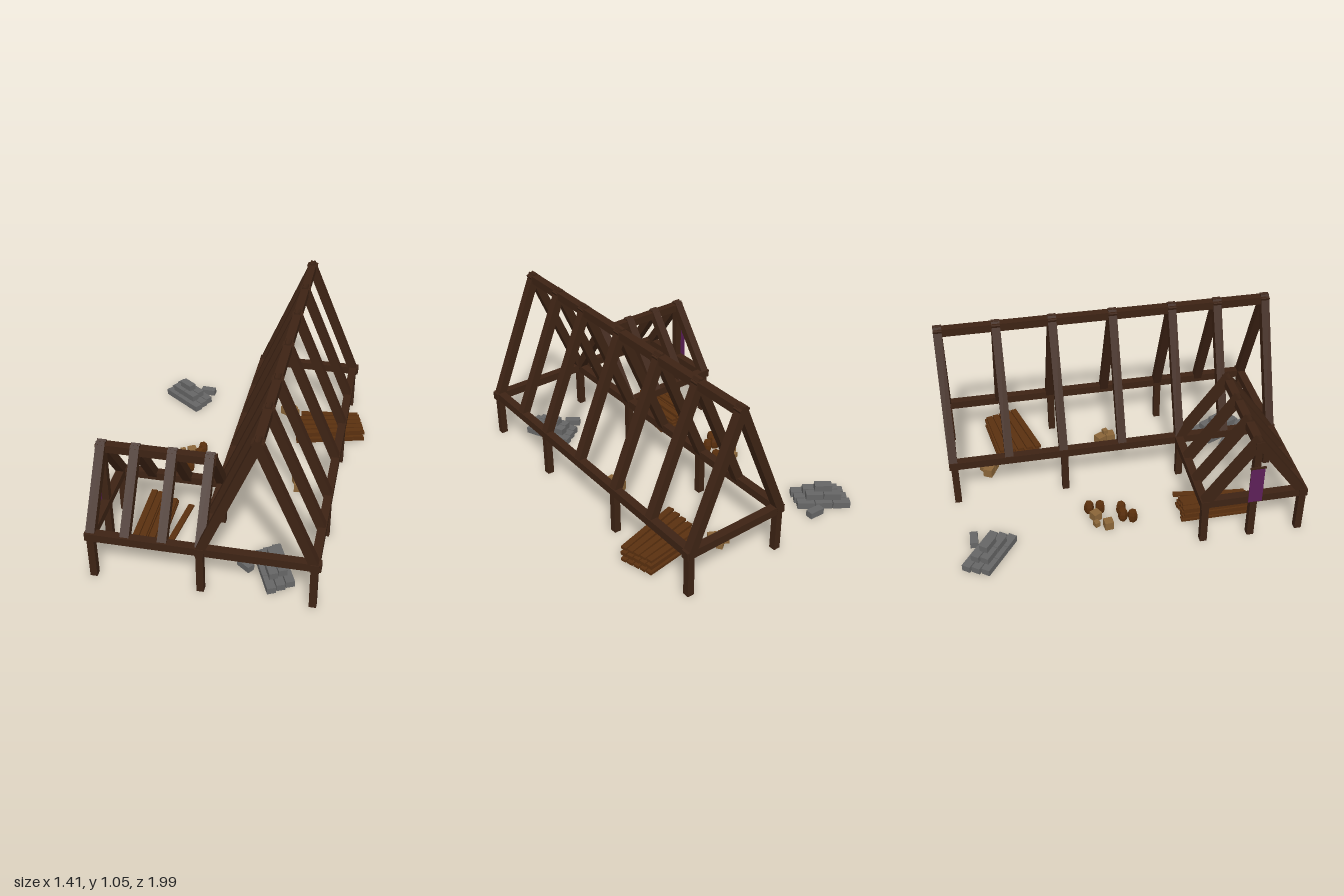
import * as THREE from 'three';

const mat = (color, extra = {}) => new THREE.MeshStandardMaterial({ color, flatShading: true, ...extra });
const wood = mat(0x3d2314), plankWood = mat(0x5a300f), barrelWood = mat(0x5a2f0c);
const crateWood = mat(0x8a6538), stone = mat(0x666666);
const cloth = mat(0x5c1f58, { side: THREE.DoubleSide });

const T = 0.048;      // timber thickness
const EAVE = 0.28;    // centre height of the eave beams
const RIDGE_X = 0.265, RIDGE_Z = 0.675;

export function createModel() {
  const root = new THREE.Group();

  function group(name, x = 0, z = 0, angle = 0) {
    const g = new THREE.Group();
    g.name = name;
    g.position.set(x, 0, z);
    g.rotation.y = angle;
    root.add(g);
    return g;
  }
  function box(parent, name, material, size, pos, angle = 0) {
    const m = new THREE.Mesh(new THREE.BoxGeometry(...size), material);
    m.name = name;
    m.position.set(...pos);
    m.rotation.y = angle;
    parent.add(m);
    return m;
  }
  // Square-ended bar running from point a to point b
  function bar(parent, name, a, b, w = T, h = T, material = wood) {
    const from = new THREE.Vector3(...a), to = new THREE.Vector3(...b);
    const m = box(parent, name, material, [w, h, from.distanceTo(to)], [0, 0, 0]);
    m.position.copy(from).add(to).multiplyScalar(0.5);
    m.lookAt(to);
    parent.add(m);
  }
  const post = (parent, name, x, z, top = 0.29) =>
    box(parent, name, wood, [0.04, top, 0.04], [x, top / 2, z]);

  // Main hall frame
  const hall = group('mainHallFrame');
  for (const x of [-0.04, 0.57]) {
    bar(hall, 'eaveBeam', [x, EAVE, -0.995], [x, EAVE, 0.995]);
    for (const z of [0.97, 0.4, -0.31, -0.965]) post(hall, 'post', x, z);
  }
  bar(hall, 'ridgeBeam', [RIDGE_X, 1.013, -0.97], [RIDGE_X, 1.013, 0.97]);
  bar(hall, 'backTieBeam', [-0.065, EAVE, -0.97], [0.605, EAVE, -0.97]);
  for (const z of [0.965, 0.67, 0.395, 0.04, -0.315, -0.64, -0.97]) {
    for (const s of [-1, 1]) {
      bar(hall, 'rafter', [RIDGE_X + s * 0.305, 0.285, z], [RIDGE_X - s * 0.01, 1.04, z], 0.05, 0.05);
    }
  }

  // Side wing frame, with the front beam running on across the hall
  const wing = group('wingFrame');
  bar(wing, 'frontBeam', [-0.67, EAVE, 0.965], [0.605, EAVE, 0.965]);
  bar(wing, 'backEaveBeam', [-0.67, EAVE, 0.39], [-0.01, EAVE, 0.39]);
  bar(wing, 'gableTieBeam', [-0.64, EAVE, 0.37], [-0.64, EAVE, 0.985]);
  bar(wing, 'ridgeBeam', [-0.67, 0.662, RIDGE_Z], [-0.005, 0.662, RIDGE_Z]);
  post(wing, 'post', -0.64, 0.965);
  post(wing, 'post', -0.64, 0.395);
  post(wing, 'gablePost', -0.64, RIDGE_Z, 0.66);
  for (const x of [-0.64, -0.45, -0.245, -0.04]) {
    for (const s of [-1, 1]) {
      bar(wing, 'rafter', [x, 0.285, RIDGE_Z + s * 0.285], [x, 0.687, RIDGE_Z - s * 0.008], 0.051, 0.05);
    }
  }

  // Hanging banner on the wing gable
  const banner = group('banner');
  box(banner, 'bannerRod', wood, [0.01, 0.01, 0.09], [-0.677, 0.517, RIDGE_Z]);
  box(banner, 'bannerBracket', wood, [0.04, 0.01, 0.01], [-0.662, 0.517, RIDGE_Z]);
  box(banner, 'bannerCloth', cloth, [0.004, 0.245, 0.08], [-0.676, 0.395, RIDGE_Z]);

  // Stepped stone piles: three layers, narrowing upwards, long side along local x
  function stonePile(x, z, angle) {
    const g = group('stonePile', x, z, angle);
    [[3, 3], [2, 2], [1, 1]].forEach(([cols, rows], layer) => {
      for (let c = 0; c < cols; c++) {
        for (let r = 0; r < rows; r++) {
          const shift = (c - 1) * 0.012;
          box(g, 'stoneBlock', stone, [0.1, 0.039, 0.05],
            [(r - (rows - 1) / 2) * 0.104 + shift, 0.0215 + layer * 0.0405, (c - (cols - 1) / 2) * 0.056]);
        }
      }
    });
  }
  stonePile(0.325, 0.76, -1.15);
  stonePile(-0.54, -0.82, -0.63);
  box(root, 'looseStone', stone, [0.095, 0.039, 0.045], [0.165, 0.022, 0.76], -0.65);
  box(root, 'looseStone', stone, [0.095, 0.039, 0.045], [-0.42, 0.022, -0.9], -0.05);

  // Plank stack beside the hall, fanned slightly
  const hallPlanks = group('hallPlanks');
  for (let layer = 0; layer < 4; layer++) {
    const y = 0.016 + layer * 0.023, d = (layer % 2) * 0.012;
    for (let i = 0; i < 5; i++) {
      bar(hallPlanks, 'plank', [0.27, y, -0.67 + i * 0.056 + d],
        [0.65 + i * 0.012 - d, y, -0.725 + i * 0.041 + d], 0.036, 0.016, plankWood);
    }
  }

  // Plank stacks beneath the wing, with one loose plank
  const wingPlanks = group('wingPlanks');
  [5, 5, 4, 3].forEach((count, c) => {
    for (let layer = 0; layer < count; layer++) {
      const x = -0.472 + c * 0.041 + (layer % 2) * 0.005, d = ((layer + c) % 3) * 0.008;
      bar(wingPlanks, 'plank', [x, 0.014 + layer * 0.0195, 0.31 + d],
        [x, 0.014 + layer * 0.0195, 0.715 + d], 0.035, 0.015, plankWood);
    }
  });
  bar(wingPlanks, 'loosePlank', [-0.25, 0.012, 0.315], [-0.305, 0.012, 0.725], 0.035, 0.012, plankWood);

  // Six-sided barrels
  const profile = [[0, 0.008], [0.023, 0.008], [0.029, 0.03], [0.029, 0.058], [0.023, 0.08], [0, 0.08]]
    .map(([r, y]) => new THREE.Vector2(r, y));
  const barrelGeometry = new THREE.LatheGeometry(profile, 6);
  [[-0.3, -0.21], [-0.31, -0.145], [-0.4, -0.025], [-0.34, -0.025], [-0.42, 0.03]].forEach(([x, z], i) => {
    const barrel = new THREE.Mesh(barrelGeometry, barrelWood);
    barrel.name = 'barrel';
    barrel.position.set(x, 0, z);
    barrel.rotation.y = i * 0.4;
    root.add(barrel);
  });

  // Crates: x, z, size, base height, turn
  for (const [x, z, s, y, turn] of [
    [-0.365, -0.18, 0.052, 0.008, 0.5], [-0.425, -0.185, 0.032, 0.008, 0.4], [-0.45, -0.12, 0.052, 0.008, 0.1],
    [0.155, -0.76, 0.055, 0.008, -0.5], [0.21, -0.73, 0.052, 0.008, -0.5], [0.205, -0.79, 0.035, 0.008, 0.6],
    [0.34, -0.025, 0.055, 0.008, 0.5], [0.355, 0.04, 0.055, 0.008, 0.1], [0.36, 0.01, 0.03, 0.06, 0.3],
  ]) box(root, 'crate', crateWood, [s, s, s], [x, y + s / 2, z], turn);

  return root;
}
